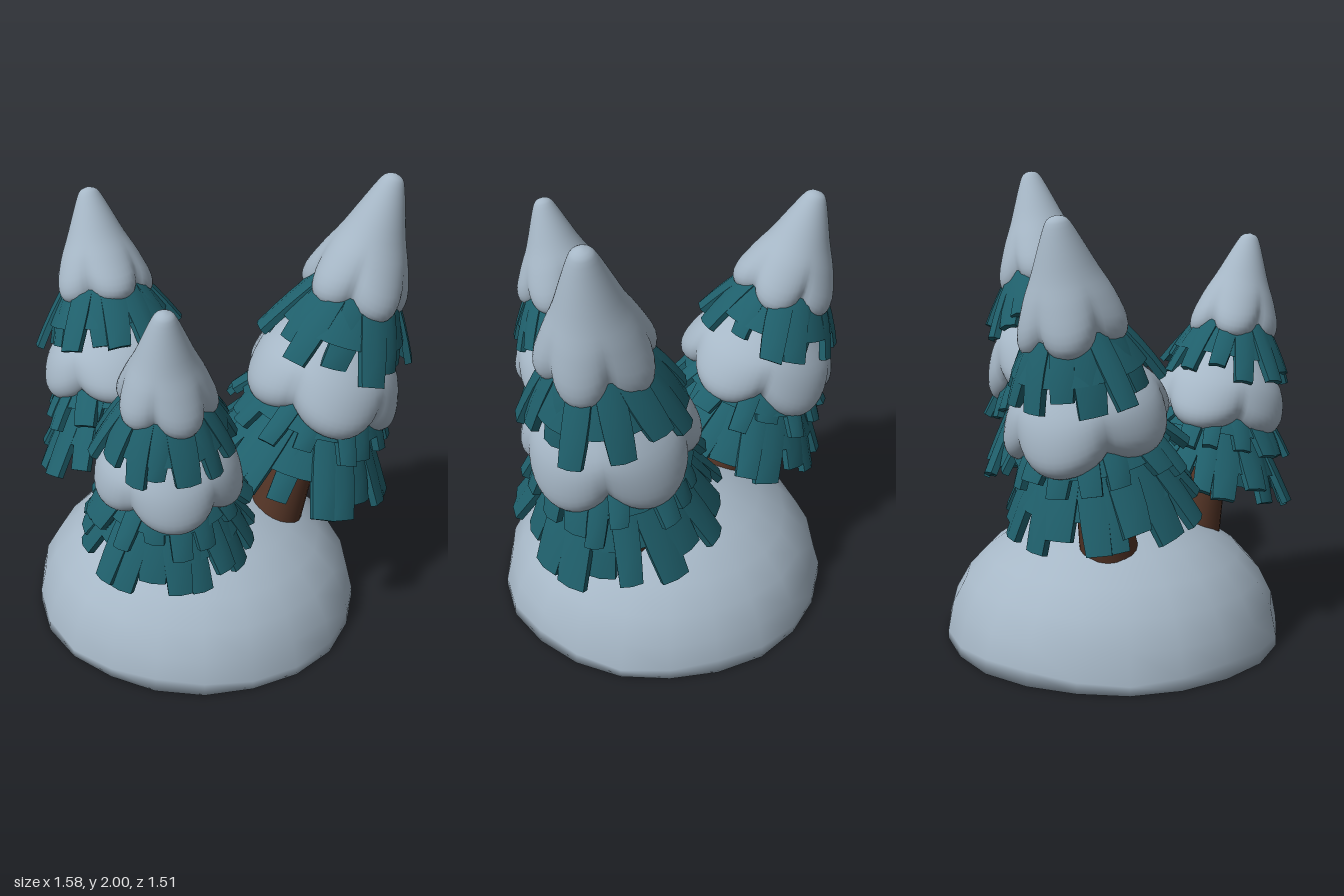
import * as THREE from 'three';
import { mergeGeometries, mergeVertices } from 'three/addons/utils/BufferGeometryUtils.js';

const snow = new THREE.MeshStandardMaterial({ color: 0xa6b7c6 });
snow.name = 'snow';
const needles = new THREE.MeshStandardMaterial({ color: 0x1f5f6b, side: THREE.DoubleSide });
needles.name = 'needles';
const bark = new THREE.MeshStandardMaterial({ color: 0x523325 });
bark.name = 'bark';

let seed = 7;
const rand = () => (seed = (seed * 16807) % 2147483647) / 2147483647;
const vary = (amount) => (rand() - 0.5) * 2 * amount;
const points = (list) => list.map(([r, y]) => new THREE.Vector2(r, y));

function mesh(name, geometry, material) {
  const m = new THREE.Mesh(geometry, material);
  m.name = name;
  return m;
}

// Weld a turned shape and give it smooth normals
function smooth(raw) {
  raw.deleteAttribute('uv');
  raw.deleteAttribute('normal');
  const g = mergeVertices(raw, 1e-4);
  g.computeVertexNormals();
  return g;
}

// Snow layer: a turned profile whose hem is pulled into rounded lobes
function snowLayer(profile, { lobes, phase, pinch, drop, top, bottom }) {
  const curve = new THREE.SplineCurve(points(profile)).getPoints(26);
  curve.forEach((p) => { p.x = Math.max(p.x, 0); });
  const raw = new THREE.LatheGeometry(curve, 70);
  const pos = raw.attributes.position;
  for (let i = 0; i < pos.count; i++) {
    const x = pos.getX(i), y = pos.getY(i), z = pos.getZ(i);
    const a = Math.atan2(z, x) - phase;
    const s = Math.pow(Math.abs(Math.cos(a * lobes / 2)), 0.75);
    const low = THREE.MathUtils.smoothstep(top - y, 0, top - bottom);
    const k = 1 - pinch * (1 - s) * low + 0.04 * Math.sin(2 * a + 1) * low;
    const hem = Math.min(1, Math.hypot(x, z) / 0.18);
    pos.setXYZ(i, x * k, y - drop * s * low * hem * (1 + 0.25 * Math.sin(a)), z * k);
  }
  return smooth(raw);
}

// One hanging strip of needles, bent along a curve in the (radius, height) plane
function strip(angle, curve, width, thickness) {
  const g = new THREE.BoxGeometry(1, 1, thickness, 2, 5, 1);
  const pos = g.attributes.position;
  const skew = vary(0.035);
  for (let i = 0; i < pos.count; i++) {
    const u = pos.getX(i), v = 0.5 - pos.getY(i);
    const p = curve.getPoint(v), t = curve.getTangent(v);
    const d = pos.getZ(i) - u * u * 0.05;
    const w = width * (0.65 + 0.8 * v - 0.65 * v * v);
    pos.setXYZ(i, u * w + skew * v * v, p.y + t.x * d, p.x - t.y * d);
  }
  g.rotateY(angle);
  g.computeVertexNormals();
  return g;
}

// Skirt of needles: an open cone with a ragged fringe of strips
function skirt(name, { from, via, to, count, width }) {
  const group = new THREE.Group();
  group.name = name;
  const path = new THREE.QuadraticBezierCurve(...points([from, via, to]));
  const cone = path.getPoints(12).slice(0, 10).reverse();
  group.add(mesh(name + 'Cone', new THREE.LatheGeometry(cone, 28), needles));
  const strips = [];
  for (let i = 0; i < count; i++) {
    const short = i % 3 === 1 ? 0.035 : 0;
    const end = [to[0] - short * 0.8 + vary(0.02), to[1] + short + vary(0.025)];
    const curve = new THREE.QuadraticBezierCurve(...points([from, via, end]));
    const angle = (i + vary(0.25)) / count * Math.PI * 2;
    strips.push(strip(angle, curve, width * (1 + vary(0.2)), 0.026));
  }
  group.add(mesh(name + 'Fringe', mergeGeometries(strips), needles));
  return group;
}

// A whole tree built upright, then leaned from its base towards its tip
function tree(name, base, tip, girth) {
  const group = new THREE.Group();
  group.name = name;
  const trunk = [[0.118, -0.12], [0.11, 0], [0.1, 0.12], [0.088, 0.3], [0.05, 0.58]];
  group.add(mesh('trunk', new THREE.LatheGeometry(points(trunk), 20), bark));
  group.add(skirt('lowerSkirt', {
    from: [0.09, 0.6], via: [0.24, 0.42], to: [0.37, 0.195], count: 19, width: 0.115,
  }));
  group.add(skirt('middleSkirt', {
    from: [0.1, 0.66], via: [0.25, 0.53], to: [0.322, 0.39], count: 16, width: 0.095,
  }));
  group.add(skirt('upperSkirt', {
    from: [0.07, 1.03], via: [0.2, 0.88], to: [0.283, 0.695], count: 14, width: 0.1,
  }));
  group.add(mesh('middleSnow', snowLayer(
    [[0.09, 0.59], [0.2, 0.55], [0.26, 0.527], [0.298, 0.55], [0.309, 0.6],
      [0.275, 0.675], [0.195, 0.75], [0.09, 0.84]],
    { lobes: 5, phase: Math.PI + 0.3, pinch: 0.15, drop: 0.065, top: 0.78, bottom: 0.545 }), snow));
  group.add(mesh('snowCap', snowLayer(
    [[0, 0.94], [0.11, 0.925], [0.165, 0.906], [0.198, 0.935], [0.197, 0.985], [0.162, 1.05],
      [0.122, 1.115], [0.086, 1.2], [0.05, 1.285], [0.03, 1.315], [0, 1.325]],
    { lobes: 5, phase: Math.PI, pinch: 0.24, drop: 0.045, top: 1.13, bottom: 0.935 }), snow));

  const foot = new THREE.Vector3(...base);
  const axis = new THREE.Vector3(...tip).sub(foot);
  group.scale.set(girth, axis.length() / 1.325, girth);
  group.position.copy(foot);
  group.quaternion.setFromUnitVectors(new THREE.Vector3(0, 1, 0), axis.normalize());
  return group;
}

// Snowy mound with a flat underside, a soft rim and slightly uneven slopes
function mound() {
  const profile = [[0, 0], [0.6, 0], [0.74, 0], [0.737, 0.05], [0.71, 0.16], [0.65, 0.27],
    [0.56, 0.365], [0.44, 0.445], [0.3, 0.505], [0.14, 0.545], [0, 0.557]];
  const raw = new THREE.LatheGeometry(points(profile), 22);
  const pos = raw.attributes.position;
  for (let i = 0; i < pos.count; i++) {
    const x = pos.getX(i), y = pos.getY(i), z = pos.getZ(i);
    const a = Math.atan2(z, x);
    const k = 1 + 0.008 * Math.sin(3 * a + 1) + 0.006 * Math.sin(7 * a + y * 9);
    const rim = y > 0.04 && y < 0.06 ? 0.015 * Math.sin(5 * a + 2) : 0;
    pos.setXYZ(i, x * k, y + rim, z * k * 0.985 - 0.03);
  }
  return mesh('snowMound', smooth(raw), snow);
}

export function createModel() {
  const model = new THREE.Group();
  model.name = 'snowyTrees';
  model.add(mound());
  model.add(tree('rightTree', [-0.335, 0.45, -0.03], [-0.65, 1.8, -0.2], 1.1));
  model.add(tree('leftTree', [0.315, 0.45, -0.2], [0.635, 2, -0.465], 1.12));
  model.add(tree('frontTree', [0.075, 0.43, 0.33], [0.21, 1.72, 0.555], 0.99));
  return model;
}
